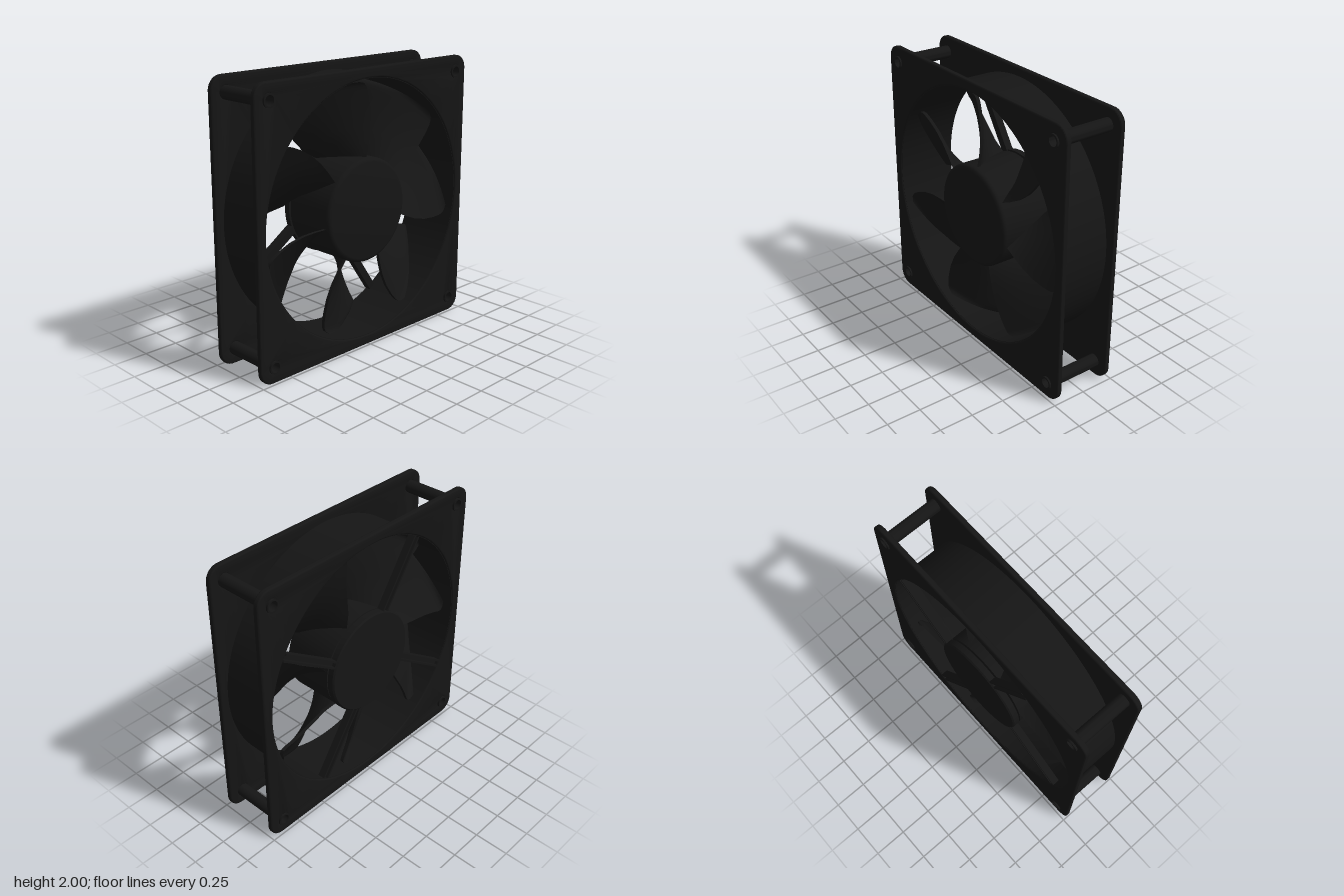
import * as THREE from 'three';
import { toCreasedNormals } from 'three/addons/utils/BufferGeometryUtils.js';

const black = new THREE.MeshStandardMaterial({ color: 0x151515 });
const HALF = 0.232, PLATE = 0.04, SCREW = 0.885, BLADES = 7;

function add(parent, name, geometry, x = 0, y = 0, z = 0) {
  const mesh = new THREE.Mesh(geometry, black);
  mesh.name = name;
  mesh.position.set(x, y, z);
  parent.add(mesh);
  return mesh;
}

const hole = (x, y, r) => new THREE.Path().absarc(x, y, r, 0, Math.PI * 2, true);
const corners = [[1, 1], [-1, 1], [-1, -1], [1, -1]];

// Square plate with rounded corners, a large opening and four screw holes
function plateGeometry() {
  const s = new THREE.Shape(), r = 0.1;
  corners.forEach(([sx, sy], i) =>
    s.absarc(sx * (1 - r), sy * (1 - r), r, i * Math.PI / 2, (i + 1) * Math.PI / 2, false));
  s.closePath();
  s.holes.push(hole(0, 0, 0.93));
  for (const [sx, sy] of corners) s.holes.push(hole(sx * SCREW, sy * SCREW, 0.042));
  const b = 0.01;
  const g = new THREE.ExtrudeGeometry(s, {
    depth: PLATE - 2 * b, bevelThickness: b, bevelSize: b, bevelOffset: -b,
    bevelSegments: 3, curveSegments: 48,
  });
  g.translate(0, 0, b - PLATE / 2);
  return toCreasedNormals(g, 0.6);
}

// Open ring with square edges, running along z
function ringGeometry(outer, inner, depth, segments) {
  const s = new THREE.Shape().absarc(0, 0, outer, 0, Math.PI * 2, false);
  s.holes.push(hole(0, 0, inner));
  const g = new THREE.ExtrudeGeometry(s, { depth, bevelEnabled: false, curveSegments: segments });
  g.translate(0, 0, -depth / 2);
  return toCreasedNormals(g, 0.6);
}

// Solid turned about z from [radius, z] points, listed back to front
function turned(points) {
  const g = new THREE.LatheGeometry(points.map(p => new THREE.Vector2(...p)), 96);
  g.rotateX(Math.PI / 2);
  return toCreasedNormals(g, 0.6);
}

// Twisted blade: each section is [radius, trailing angle, leading angle], clockwise from the top
function bladeGeometry() {
  const sections = [
    [0.34, -22, 2], [0.38, -24.6, 3], [0.47, -32, 5], [0.57, -34.5, 5.8], [0.68, -36.5, 5],
    [0.78, -38.5, 3.2], [0.84, -39.8, 1.8], [0.87, -40, 0.8], [0.89, -38.8, -0.6], [0.902, -36, -3.5],
  ];
  const N = 14, ring = 2 * (N + 1), t = 0.013, pos = [], index = [];
  for (const [r, a0, a1] of sections) {
    for (let k = 0; k < ring; k++) {
      const front = k <= N;
      const v = (front ? k : ring - 1 - k) / N;
      const a = THREE.MathUtils.degToRad(a0 + (a1 - a0) * v);
      const z = -0.155 + 0.32 * v + 0.02 * Math.sin(Math.PI * v) + (front ? t : -t);
      pos.push(r * Math.sin(a), r * Math.cos(a), z);
    }
  }
  for (let i = 0; i < sections.length - 1; i++) {
    for (let k = 0; k < ring; k++) {
      const a = i * ring + k, b = i * ring + (k + 1) % ring;
      index.push(a, b, b + ring, a, b + ring, a + ring);
    }
  }
  // Tip cap
  const base = (sections.length - 1) * ring;
  for (let k = 0; k < N; k++) {
    const a = base + k, b = a + 1, d = base + ring - 1 - k, c = d - 1;
    index.push(a, b, c, a, c, d);
  }
  const g = new THREE.BufferGeometry();
  g.setAttribute('position', new THREE.Float32BufferAttribute(pos, 3));
  g.setIndex(index);
  return toCreasedNormals(g, 0.7);
}

export function createModel() {
  const model = new THREE.Group();
  model.name = 'coolingFan';
  const fan = new THREE.Group();
  fan.position.y = 1;
  model.add(fan);

  // Housing
  const frame = new THREE.Group();
  frame.name = 'frame';
  fan.add(frame);
  const plate = plateGeometry();
  add(frame, 'frontPlate', plate, 0, 0, HALF - PLATE / 2);
  add(frame, 'backPlate', plate, 0, 0, -HALF + PLATE / 2);
  add(frame, 'duct', ringGeometry(0.94, 0.926, 2 * HALF - 0.02, 64));
  const post = ringGeometry(0.047, 0.035, 0.486, 16);
  for (const [sx, sy] of corners) add(frame, 'screwPost', post, sx * SCREW, sy * SCREW);

  // Motor mount and its four offset channel-shaped struts
  add(frame, 'motorMount', turned([
    [0, -0.238], [0.37, -0.238], [0.38, -0.228], [0.38, -0.185], [0, -0.185],
  ]));
  const web = new THREE.BoxGeometry(0.62, 0.058, 0.025);
  const rail = new THREE.BoxGeometry(0.62, 0.014, 0.035);
  for (let i = 0; i < 4; i++) {
    const strut = new THREE.Group();
    strut.name = 'strut';
    strut.rotation.z = THREE.MathUtils.degToRad(34 + 90 * i);
    add(strut, 'strutWeb', web, 0.61, -0.069, -0.19);
    for (const s of [-1, 1]) add(strut, 'strutRail', rail, 0.61, -0.069 + s * 0.022, -0.214);
    frame.add(strut);
  }

  // Rotor with hub and blades
  const rotor = new THREE.Group();
  rotor.name = 'rotor';
  fan.add(rotor);
  add(rotor, 'hub', turned([
    [0, -0.172], [0.375, -0.172], [0.375, 0.185], [0.371, 0.2], [0.36, 0.211], [0.345, 0.215], [0, 0.215],
  ]));
  const blade = bladeGeometry();
  for (let i = 0; i < BLADES; i++)
    add(rotor, 'blade', blade).rotation.z = -i * 2 * Math.PI / BLADES;

  return model;
}
